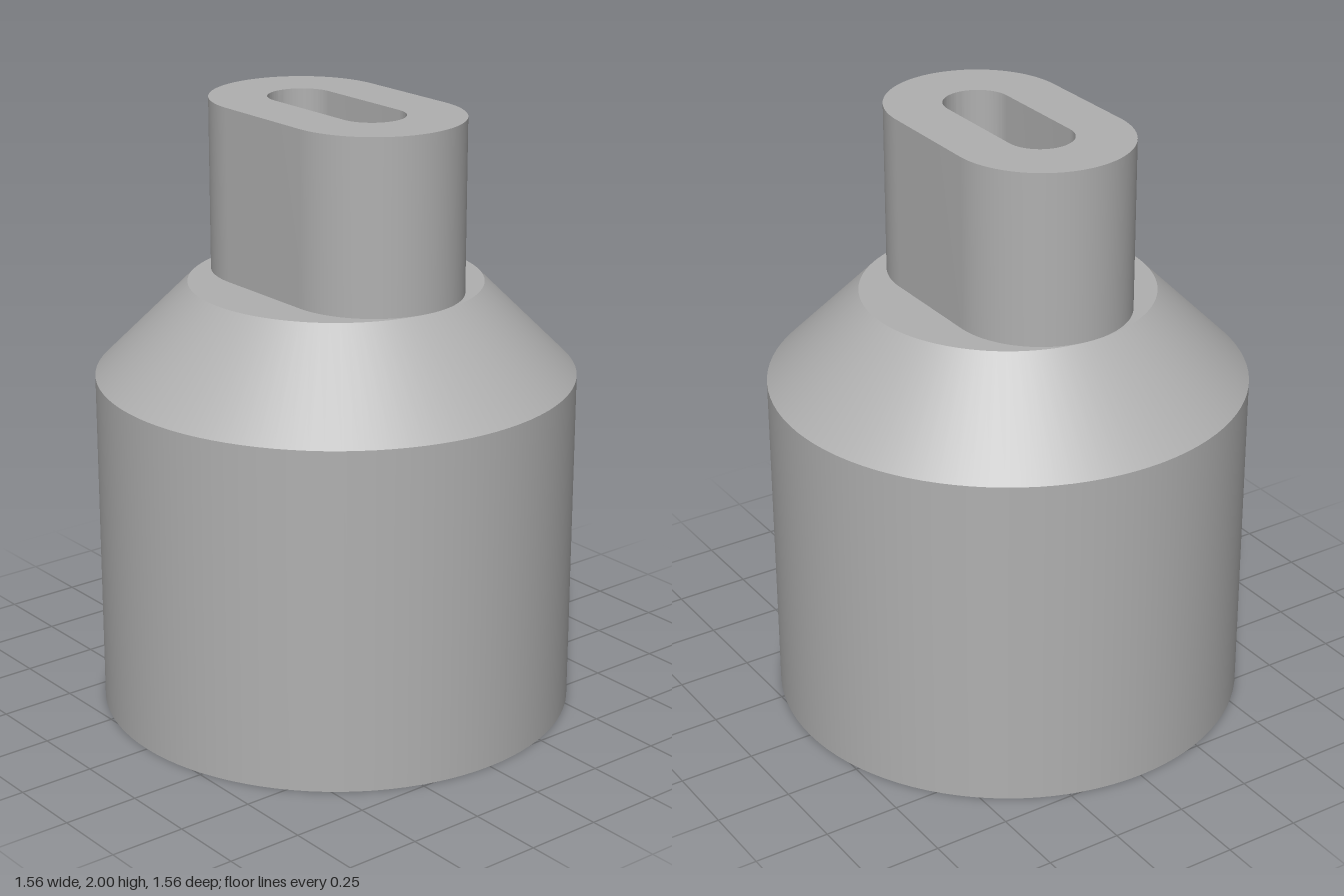
import * as THREE from 'three';
import { mergeGeometries, toCreasedNormals } from 'three/addons/utils/BufferGeometryUtils.js';

const BODY_R = 0.78, NECK_R = 0.477, BORE_R = 0.24, RECESS_R = 0.55;
const RECESS_Y = 0.2, SHOULDER_Y = 1.13, NECK_Y = 1.433, TOP_Y = 2;

// Rounded slot outline: two half circles joined by straight sides
function slotOutline(target, halfStraight, radius) {
  target.absarc(halfStraight, 0, radius, -Math.PI / 2, Math.PI / 2, false);
  target.absarc(-halfStraight, 0, radius, Math.PI / 2, Math.PI * 1.5, false);
  target.closePath();
  return target;
}

// Revolve each straight piece on its own so the edges between them stay sharp
function sharpLathe(profile, segments) {
  const pieces = [];
  for (let i = 0; i < profile.length - 1; i++) {
    const pair = [profile[i], profile[i + 1]].map(([r, y]) => new THREE.Vector2(r, y));
    pieces.push(new THREE.LatheGeometry(pair, segments));
  }
  return mergeGeometries(pieces);
}

export function createModel() {
  const group = new THREE.Group();
  group.name = 'adapter';
  const grey = new THREE.MeshStandardMaterial({ color: 0xb0b0b0 });
  grey.name = 'grey';

  // Round body with bore, bottom recess and sloped shoulder
  const body = new THREE.Mesh(sharpLathe([
    [BORE_R, NECK_Y], [BORE_R, RECESS_Y], [RECESS_R, RECESS_Y], [RECESS_R, 0],
    [BODY_R, 0], [BODY_R, SHOULDER_Y], [NECK_R, NECK_Y], [BORE_R, NECK_Y],
  ], 96), grey);
  body.name = 'body';
  group.add(body);

  // Flat-sided neck with a slot through it
  const outline = slotOutline(new THREE.Shape(), 0.184, 0.293);
  outline.holes.push(slotOutline(new THREE.Path(), 0.175, 0.11));
  const neckGeometry = new THREE.ExtrudeGeometry(outline, {
    depth: TOP_Y - NECK_Y, bevelEnabled: false, curveSegments: 40,
  });
  neckGeometry.rotateX(-Math.PI / 2);
  neckGeometry.translate(0, NECK_Y, 0);
  const neck = new THREE.Mesh(toCreasedNormals(neckGeometry, 0.5), grey);
  neck.name = 'neck';
  group.add(neck);

  return group;
}
